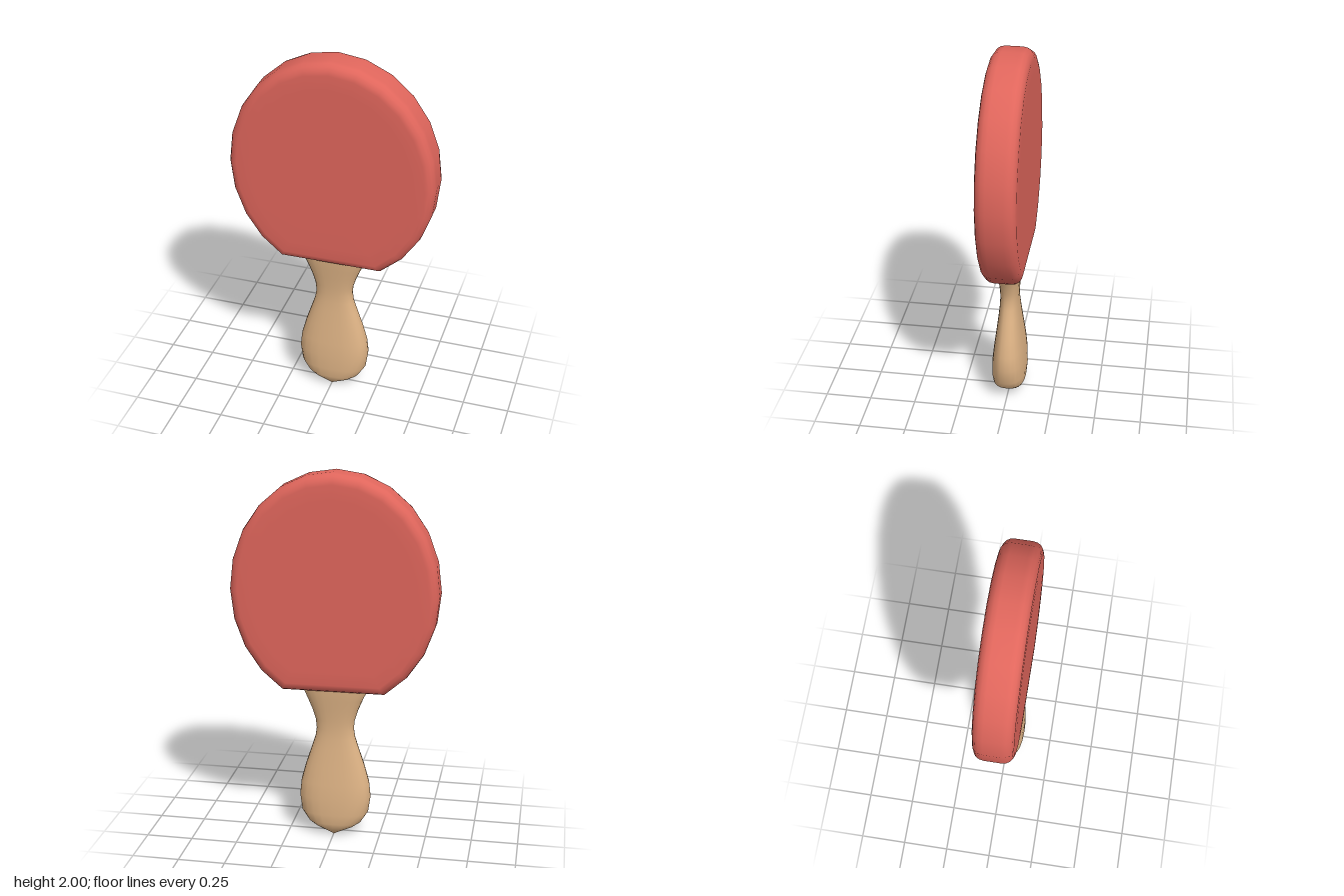
import * as THREE from 'three';

// Skin closed cross-sections (each an array of Vector3) and close both ends with a fan.
function loft(rings) {
  const n = rings[0].length;
  const points = rings.flat();
  const index = [];
  for (let i = 0; i < rings.length - 1; i++) {
    for (let j = 0; j < n; j++) {
      const a = i * n + j, b = i * n + (j + 1) % n;
      index.push(a, b, b + n, a, b + n, a + n);
    }
  }
  const centre = ring => ring.reduce((s, p) => s.add(p), new THREE.Vector3()).divideScalar(n);
  const first = points.push(centre(rings[0])) - 1;
  const last = points.push(centre(rings[rings.length - 1])) - 1;
  const base = (rings.length - 1) * n;
  for (let j = 0; j < n; j++) {
    const k = (j + 1) % n;
    index.push(first, k, j, last, base + j, base + k);
  }
  const geometry = new THREE.BufferGeometry().setFromPoints(points);
  geometry.setIndex(index);
  geometry.computeVertexNormals();
  return geometry;
}

// Blade: a 24-sided oval cut straight at the bottom, with rounded rims
function bladeGeometry() {
  const cy = 1.375, rx = 0.55, ry = 0.625;
  const outline = [];
  for (let i = 0; i <= 20; i++) {
    const t = THREE.MathUtils.degToRad(-60 + i * 15);
    outline.push([rx * Math.cos(t), ry * Math.sin(t)]);
  }
  const cut = outline[0][1];
  for (const x of [-0.14, 0, 0.14]) outline.push([x, cut]);

  // [inset, z] from the face to the rim
  const rim = [[0.12, 0.105], [0.05, 0.104], [0.03, 0.098], [0.014, 0.086], [0.004, 0.068], [0, 0.045]];
  const profile = [...rim.map(([d, z]) => [d, -z]), ...rim.slice().reverse()];
  return loft(profile.map(([d, z]) => {
    const s = 1 - d / rx;
    return outline.map(([x, y]) => new THREE.Vector3(x * s, cy + y * s, z));
  }));
}

// Handle: softly squared oval sections, flared at the top and swollen near the foot
function handleGeometry() {
  // [y, half width, half depth]
  const sections = [
    [0.005, 0.008, 0.05], [0.03, 0.07, 0.068], [0.048, 0.11, 0.08], [0.075, 0.147, 0.09],
    [0.13, 0.182, 0.094], [0.22, 0.195, 0.091], [0.3, 0.187, 0.083], [0.4, 0.16, 0.07],
    [0.5, 0.127, 0.058], [0.56, 0.108, 0.052], [0.61, 0.101, 0.05], [0.66, 0.106, 0.052],
    [0.72, 0.125, 0.057], [0.78, 0.15, 0.064], [0.84, 0.178, 0.07], [0.9, 0.19, 0.073],
  ];
  const soft = v => Math.sign(v) * Math.abs(v) ** 0.8;
  return loft(sections.map(([y, w, d]) => {
    const ring = [];
    for (let j = 0; j < 24; j++) {
      const t = j / 24 * Math.PI * 2;
      ring.push(new THREE.Vector3(w * soft(Math.sin(t)), y, d * soft(Math.cos(t))));
    }
    return ring;
  }));
}

export function createModel() {
  const group = new THREE.Group();
  group.name = 'tableTennisBat';
  const add = (name, geometry, color) => {
    const mesh = new THREE.Mesh(geometry, new THREE.MeshStandardMaterial({ color }));
    mesh.name = name;
    group.add(mesh);
  };
  add('blade', bladeGeometry(), 0xe0665c);
  add('handle', handleGeometry(), 0xdeb385);
  return group;
}
